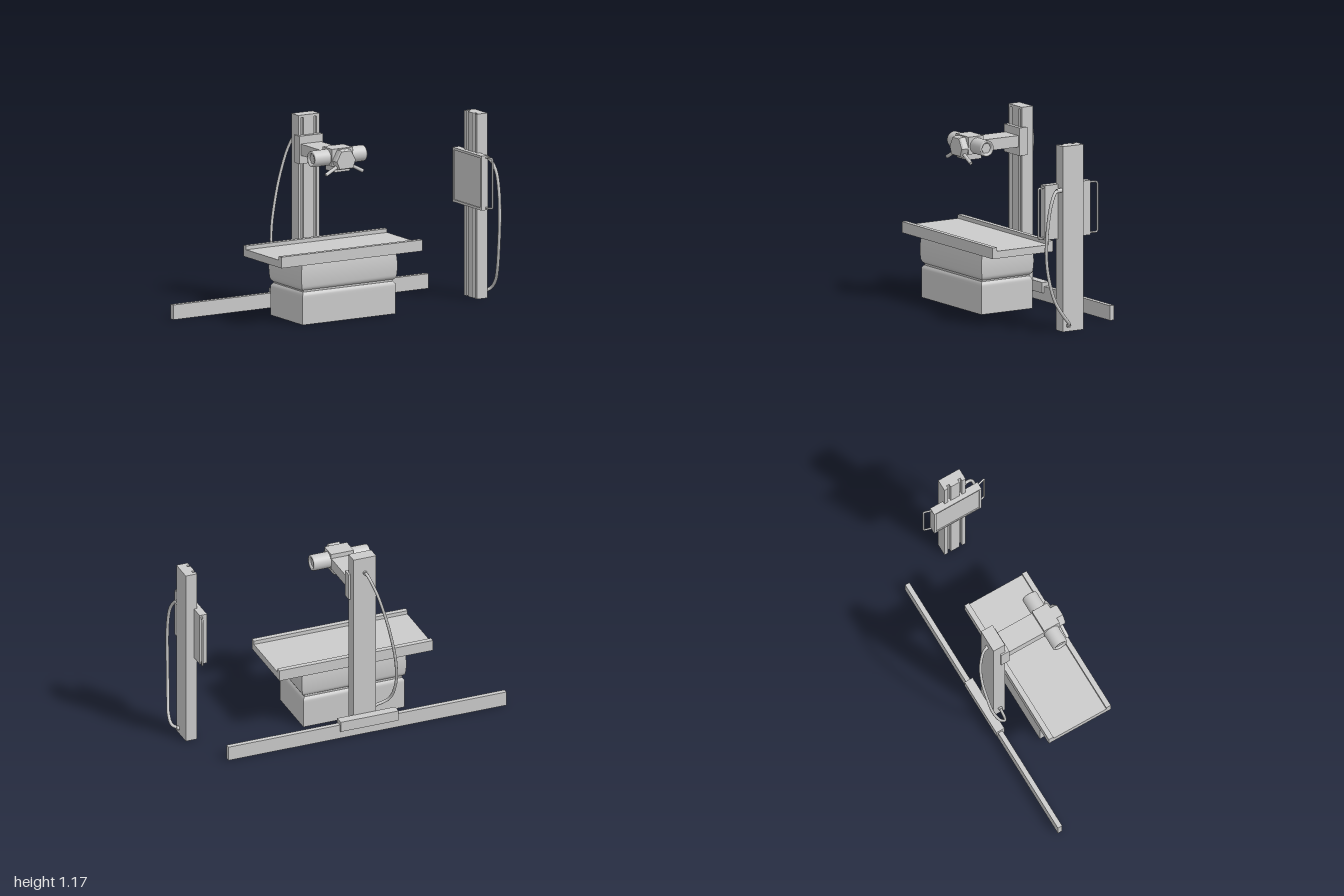
import * as THREE from 'three';

const material = new THREE.MeshStandardMaterial({ color: 0xcccccc });

function add(parent, name, geometry) {
  const mesh = new THREE.Mesh(geometry, material);
  mesh.name = name;
  parent.add(mesh);
  return mesh;
}

// Box given by its extents on each axis
function box(parent, name, [x0, x1], [y0, y1], [z0, z1]) {
  const g = new THREE.BoxGeometry(x1 - x0, y1 - y0, z1 - z0);
  g.translate((x0 + x1) / 2, (y0 + y1) / 2, (z0 + z1) / 2);
  return add(parent, name, g);
}

const vectors = (points) => points.map((p) => new THREE.Vector3(...p));

function tube(parent, name, points, radius, segments = 60) {
  const curve = new THREE.CatmullRomCurve3(vectors(points));
  return add(parent, name, new THREE.TubeGeometry(curve, segments, radius, 10));
}

// Straight capped rod between two points
function rod(parent, name, a, b, radius, sides = 16) {
  const [p, q] = vectors([a, b]);
  const mesh = add(parent, name, new THREE.CylinderGeometry(radius, radius, p.distanceTo(q), sides));
  mesh.position.copy(p).lerp(q, 0.5);
  mesh.quaternion.setFromUnitVectors(new THREE.Vector3(0, 1, 0), q.sub(p).normalize());
  return mesh;
}

function polygon(points) {
  return new THREE.Shape(points.map(([x, y]) => new THREE.Vector2(x, y)));
}

// Upright post with two guide slots in its front (+z) face, centred on its footprint
function slottedPost(parent, name, width, depth, height, inner, outer, cut) {
  const w = width / 2, d = depth / 2;
  const half = [[inner, -d], [inner, -d + cut], [outer, -d + cut], [outer, -d], [w, -d], [w, d]];
  const mirrored = half.map(([x, y]) => [-x, y]).reverse();
  const g = new THREE.ExtrudeGeometry(polygon([...half, ...mirrored]), { depth: height, bevelEnabled: false });
  g.rotateX(-Math.PI / 2);
  return add(parent, name, g);
}

// Block whose sides follow a swelling profile over its height
function swollenBlock(parent, name, [x0, x1], [y0, y1], [z0, z1], inset) {
  const g = new THREE.BoxGeometry(x1 - x0, y1 - y0, z1 - z0, 1, 16, 1);
  const p = g.attributes.position;
  for (let i = 0; i < p.count; i++) {
    const pull = inset(p.getY(i) / (y1 - y0) + 0.5);
    p.setX(i, p.getX(i) - Math.sign(p.getX(i)) * pull);
    p.setZ(i, p.getZ(i) - Math.sign(p.getZ(i)) * pull);
  }
  g.computeVertexNormals();
  g.translate((x0 + x1) / 2, (y0 + y1) / 2, (z0 + z1) / 2);
  return add(parent, name, g);
}

function createTable() {
  const table = new THREE.Group();
  table.name = 'patientTable';
  swollenBlock(table, 'lowerPedestal', [-0.428, 0.228], [0.005, 0.203], [-0.063, 0.302],
    (t) => 0.012 * Math.max(0, (t - 0.9) / 0.1) ** 2);
  box(table, 'pedestalGap', [-0.415, 0.215], [0.19, 0.23], [-0.05, 0.288]);
  swollenBlock(table, 'upperPedestal', [-0.438, 0.238], [0.212, 0.385], [-0.067, 0.306],
    (t) => 0.008 * (2 * t - 1) ** 2 + 0.012 * Math.max(0, 1 - t / 0.12) ** 2);
  box(table, 'tableTop', [-0.596, 0.398], [0.385, 0.42], [-0.07, 0.302]);
  for (const [z0, z1] of [[-0.1, -0.068], [0.3, 0.332]])
    box(table, 'tableSideRail', [-0.596, 0.398], [0.375, 0.443], [z0, z1]);
  for (const x of [-0.596, 0.378])
    box(table, 'tableEndPanel', [x, x + 0.02], [0.375, 0.42], [-0.07, 0.302]);
  return table;
}

function createTubeStand() {
  const stand = new THREE.Group();
  stand.name = 'tubeStand';
  box(stand, 'floorRail', [-1, 0.8], [0.005, 0.095], [-0.275, -0.245]);
  box(stand, 'railCarriage', [-0.297, 0.078], [0.055, 0.12], [-0.288, -0.232]);

  // Column with its closed top
  slottedPost(stand, 'tubeColumn', 0.147, 0.08, 1.115, 0.037, 0.054, 0.018).position.set(-0.1, 0.05, -0.195);
  box(stand, 'columnCap', [-0.1735, -0.0265], [1.165, 1.18], [-0.235, -0.155]);
  box(stand, 'columnSlide', [-0.183, -0.015], [0.888, 1.058], [-0.187, -0.13]);
  box(stand, 'arm', [-0.172, -0.028], [0.94, 1.01], [-0.13, 0.13]);

  // Tube head: centre housing, side barrels and front panel
  const head = new THREE.Group();
  head.name = 'tubeHead';
  head.position.set(-0.1, 0.98, 0.166);
  stand.add(head);
  box(head, 'headHousing', [-0.073, 0.073], [-0.048, 0.058], [-0.048, 0.059]);
  box(head, 'collimator', [-0.055, 0.055], [-0.085, -0.04], [-0.045, 0.059]);
  for (const side of [-1, 1]) {
    const profile = [[0.03, 0.168], [0.036, 0.184], [0.046, 0.184], [0.049, 0.178], [0.049, 0.06]];
    const g = new THREE.LatheGeometry(profile.map(([r, y]) => new THREE.Vector2(r, y)).reverse(), 32);
    const barrel = add(head, 'tubeBarrel', g);
    barrel.rotation.z = -side * Math.PI / 2;
    rod(head, 'barrelEndCap', [side * 0.15, 0, 0], [side * 0.172, 0, 0], 0.033, 6);
    rod(head, 'steeringHandle', [side * 0.045, -0.045, 0.08], [side * 0.13, -0.09, 0.08], 0.011);
  }
  const panel = polygon([[-0.037, 0.052], [-0.072, -0.012], [-0.05, -0.065],
    [0.05, -0.065], [0.072, -0.012], [0.037, 0.052]]);
  const panelGeometry = new THREE.ExtrudeGeometry(panel,
    { depth: 0.034, bevelThickness: 0.01, bevelSize: 0.006, bevelOffset: -0.006, bevelSegments: 1 });
  add(head, 'controlPanel', panelGeometry).position.z = 0.06;

  tube(stand, 'tubeCable', [[-0.1, 1.08, -0.23], [-0.108, 1.068, -0.262], [-0.145, 0.97, -0.308],
    [-0.19, 0.82, -0.325], [-0.235, 0.65, -0.32], [-0.275, 0.45, -0.3], [-0.288, 0.28, -0.257],
    [-0.265, 0.17, -0.208], [-0.172, 0.13, -0.19]], 0.009);
  rod(stand, 'cablePlug', [-0.1, 1.08, -0.23], [-0.1, 1.078, -0.245], 0.013);
  rod(stand, 'cablePlug', [-0.17, 0.13, -0.19], [-0.19, 0.135, -0.19], 0.013);
  return stand;
}

function createDetectorStand() {
  const stand = new THREE.Group();
  stand.name = 'detectorStand';
  const post = slottedPost(stand, 'detectorColumn', 0.147, 0.074, 1.13, 0.03, 0.048, 0.02);
  post.position.set(0.909, 0.005, 0.115);
  post.rotation.y = -Math.PI / 2;

  // Flat detector with a raised border
  box(stand, 'detectorPanel', [0.85, 0.892], [0.565, 0.898], [-0.046, 0.282]);
  for (const y of [0.565, 0.883])
    box(stand, 'panelBorder', [0.844, 0.85], [y, y + 0.015], [-0.046, 0.282]);
  for (const z of [-0.046, 0.267])
    box(stand, 'panelBorder', [0.844, 0.85], [0.58, 0.883], [z, z + 0.015]);

  // Grab bars on both sides
  for (const side of [-1, 1]) {
    const at = (reach, y) => new THREE.Vector3(0.878 + reach * 0.3, y, 0.118 + side * (0.16 + reach));
    const path = new THREE.CurvePath();
    const corners = [at(0, 0.885), at(0.038, 0.885), at(0.051, 0.885), at(0.051, 0.87),
      at(0.051, 0.593), at(0.051, 0.578), at(0.038, 0.578), at(0, 0.578)];
    path.add(new THREE.LineCurve3(corners[0], corners[1]));
    path.add(new THREE.QuadraticBezierCurve3(corners[1], corners[2], corners[3]));
    path.add(new THREE.LineCurve3(corners[3], corners[4]));
    path.add(new THREE.QuadraticBezierCurve3(corners[4], corners[5], corners[6]));
    path.add(new THREE.LineCurve3(corners[6], corners[7]));
    add(stand, 'grabBar', new THREE.TubeGeometry(path, 120, 0.006, 10));
  }

  tube(stand, 'detectorCable', [[0.93, 0.868, 0.185], [0.936, 0.862, 0.23], [0.952, 0.8, 0.272],
    [0.957, 0.68, 0.3], [0.955, 0.5, 0.312], [0.958, 0.35, 0.298], [0.972, 0.2, 0.26],
    [0.988, 0.11, 0.21], [0.983, 0.06, 0.168], [0.943, 0.04, 0.15]], 0.01);
  rod(stand, 'cablePlug', [0.93, 0.868, 0.18], [0.932, 0.865, 0.222], 0.013);
  rod(stand, 'cablePlug', [0.94, 0.04, 0.15], [0.962, 0.043, 0.152], 0.013);
  return stand;
}

export function createModel() {
  const model = new THREE.Group();
  model.name = 'xrayRoom';
  model.add(createTable(), createTubeStand(), createDetectorStand());
  return model;
}
